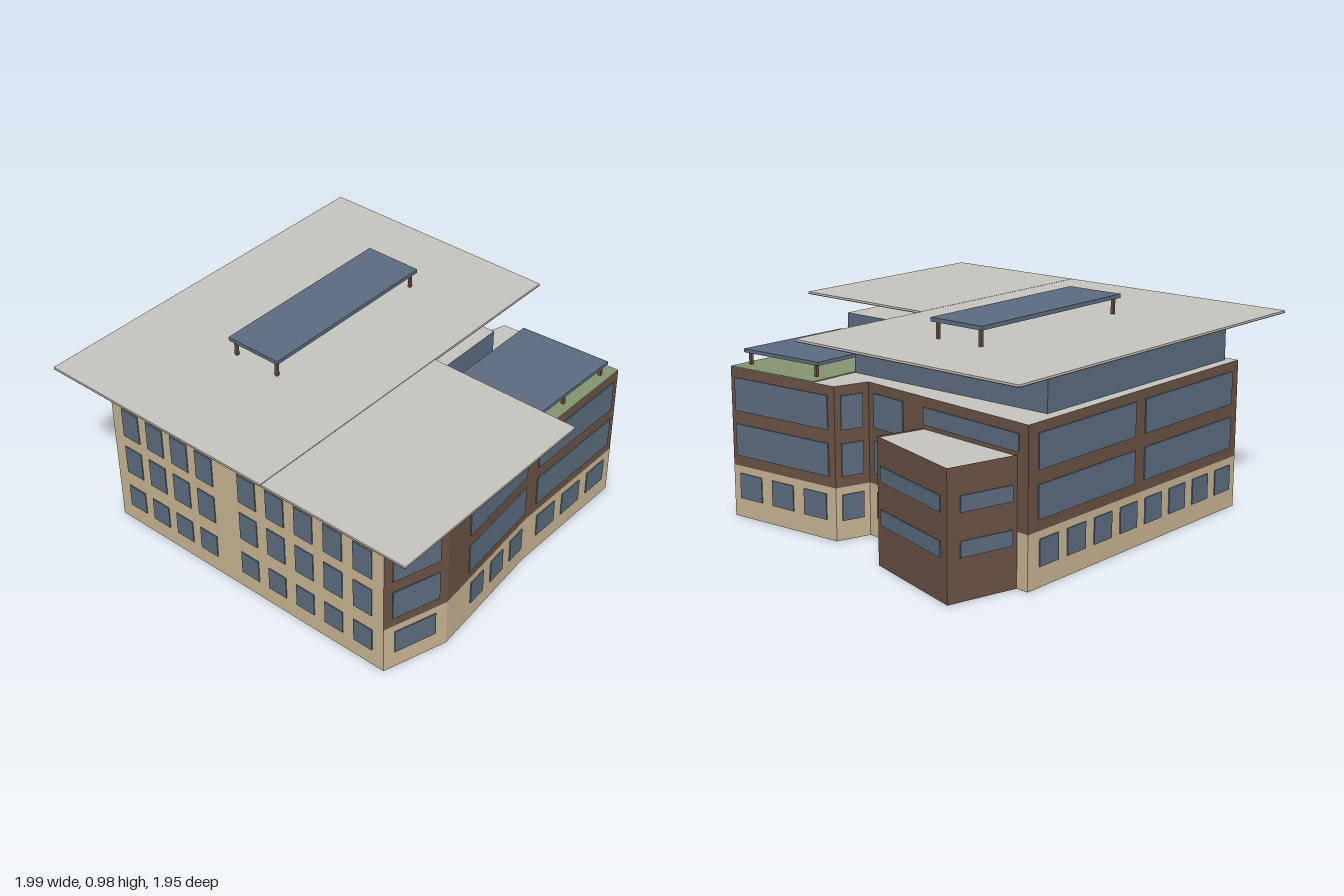
import * as THREE from 'three';

const mat = (name, color, side = THREE.FrontSide) => {
  const m = new THREE.MeshStandardMaterial({ color, side });
  m.name = name;
  return m;
};

export function createModel() {
  const group = new THREE.Group();
  const tan = mat('tan stone', 0xc8b593, THREE.DoubleSide);
  const brown = mat('brown brick', 0x6b5244, THREE.DoubleSide);
  const slate = mat('slate blue glass', 0x5b6c7f);
  const grey = mat('light grey roofing', 0xc5c3be, THREE.DoubleSide);
  const green = mat('terrace green', 0x83946f);

  const add = (name, geo, material, parent = group) => {
    const mesh = new THREE.Mesh(geo, material);
    mesh.name = name;
    parent.add(mesh);
    return mesh;
  };

  // plan outlines are lists of [x, z]
  const planShape = pts => new THREE.Shape(pts.map(([x, z]) => new THREE.Vector2(x, -z)));
  const slab = (pts, y0, y1) =>
    new THREE.ExtrudeGeometry(planShape(pts), { depth: y1 - y0, bevelEnabled: false })
      .rotateX(-Math.PI / 2).translate(0, y0, 0);
  const sheet = (pts, y) =>
    new THREE.ShapeGeometry(planShape(pts)).rotateX(-Math.PI / 2).translate(0, y, 0);
  const rect = (x0, x1, z0, z1) => [[x0, z0], [x1, z0], [x1, z1], [x0, z1]];

  // one flat upright wall panel from P to Q, outside on the right-hand side
  const panel = (name, P, Q, y0, y1, material) => {
    const geo = new THREE.BufferGeometry();
    geo.setAttribute('position', new THREE.Float32BufferAttribute([
      P[0], y0, P[1], Q[0], y0, Q[1], Q[0], y1, Q[1], P[0], y1, P[1]], 3));
    geo.setIndex([0, 1, 2, 0, 2, 3]);
    geo.computeVertexNormals();
    add(name, geo, material);
  };

  // window plates on wall P-Q; spans are coordinates along axis (0 = x, 1 = z)
  const windows = (name, P, Q, axis, spans, rows) => {
    const set = new THREE.Group();
    set.name = name;
    group.add(set);
    const dx = Q[0] - P[0], dz = Q[1] - P[1], len = Math.hypot(dx, dz);
    const nx = -dz / len, nz = dx / len;
    for (const [a, b] of spans) {
      const ta = (a - P[axis]) / (Q[axis] - P[axis]);
      const tb = (b - P[axis]) / (Q[axis] - P[axis]);
      const t = (ta + tb) / 2;
      for (const [y0, y1] of rows) {
        const geo = new THREE.BoxGeometry(Math.abs(tb - ta) * len, y1 - y0, 0.005);
        const pane = add('window', geo, slate, set);
        pane.position.set(P[0] + dx * t + nx * 0.0035, (y0 + y1) / 2, P[1] + dz * t + nz * 0.0035);
        pane.rotation.y = Math.atan2(nx, nz);
      }
    }
  };

  // main building shell
  const A = [-0.8, 0.7], B = [-0.5, 0.795], C = [0.13, 0.735], D = [0.785, 0.74];
  const E = [0.743, 0.136], F = [0.585, 0.089], G = [0.68, -0.87], H = [-0.8, -0.865];
  const plan = [A, B, C, D, E, F, G, H];
  const bandTop = 0.237, wallTop = 0.683;
  for (let i = 0; i < 7; i++) {
    panel('groundFloorWall', plan[i], plan[i + 1], 0, bandTop, tan);
    panel('upperWall', plan[i], plan[i + 1], bandTop, wallTop, brown);
  }
  panel('plainSideWall', H, A, 0, wallTop, tan);
  add('roofDeck', sheet(plan, wallTop), grey);

  // windows of the main building
  const ground = [[0.088, 0.204]];
  const upper = [[0.285, 0.43], [0.49, 0.64]];
  windows('frontCornerUpperWindows', A, B, 0, [[-0.76, -0.54]], upper);
  windows('frontCornerGroundWindow', A, B, 0, [[-0.75, -0.556]], ground);
  windows('frontMiddleUpperWindows', B, C, 0, [[-0.34, 0.115]], upper);
  windows('frontMiddleGroundWindows', B, C, 0, [[-0.32, -0.22], [-0.16, -0.06], [0, 0.1]], ground);
  windows('frontWingUpperWindows', C, D, 0, [[0.2, 0.75]], upper);
  windows('frontWingGroundWindows', C, D, 0, [[0.214, 0.348], [0.406, 0.54], [0.6, 0.733]], ground);
  windows('wingSideUpperWindows', D, E, 1, [[0.715, 0.172]], upper);
  windows('wingSideGroundWindows', D, E, 1, [[0.7, 0.57], [0.507, 0.381], [0.318, 0.188]], ground);
  windows('recessWindows', E, F, 0, [[0.715, 0.615]], [...ground, ...upper]);
  windows('sideUpperWindows', F, G, 1, [[0.052, -0.136]], upper);
  windows('sideGroundWindow', F, G, 1, [[0.037, -0.12]], ground);
  windows('sideLongWindow', F, G, 1, [[-0.266, -0.82]], [[0.565, 0.64]]);
  windows('backUpperWindows', G, H, 0, [[0.62, -0.02], [-0.09, -0.75]], upper);
  windows('backGroundWindows', G, H, 0,
    Array.from({ length: 8 }, (_, i) => [0.61 - i * 0.178, 0.49 - i * 0.178]), ground);
  const columns = [-0.8, -0.65, -0.5, -0.35, -0.1, 0.06, 0.22, 0.38, 0.54];
  windows('plainSideWindows', H, A, 1, columns.map(z => [z, z + 0.1]), [...ground, ...upper]);

  // lower angled side block
  const block = [[0.619, -0.265], [0.84, -0.21], [0.992, -0.727], [0.673, -0.81]];
  for (let i = 0; i < 3; i++) panel('sideBlockWall', block[i], block[i + 1], 0, 0.552, brown);
  add('sideBlockRoof', sheet(block, 0.546), grey);
  const slots = [[0.183, 0.25], [0.366, 0.434]];
  windows('sideBlockWindows', block[1], block[2], 1, [[-0.24, -0.684]], slots);
  windows('sideBlockEndWindows', block[2], block[3], 1, [[-0.742, -0.804]], slots);

  // set-back glazed top storey, L-shaped
  add('topStorey', slab([[-0.76, -0.82], [0.503, -0.82], [0.503, 0.25], [0.1, 0.25],
    [0.1, 0.7], [-0.76, 0.7]], 0.684, 0.828), [grey, slate]);

  // overhanging flat roof in two sheets, brown underneath
  for (const [name, area] of [['mainRoof', rect(-1, 0.866, -0.975, 0.235)],
    ['wingRoof', rect(-1, 0.095, 0.238, 0.97)]]) {
    add(name, slab(area, 0.886, 0.893), grey);
    add(name + 'Underside', slab(area, 0.882, 0.886), brown);
  }

  // small canopies on posts
  const canopy = (name, pts, y0, y1, base, posts) => {
    const set = new THREE.Group();
    set.name = name;
    group.add(set);
    add('canopyPanel', slab(pts, y0, y1), slate, set);
    for (const [x, z] of posts) {
      add('post', new THREE.BoxGeometry(0.014, y0 - base, 0.014), brown, set)
        .position.set(x, (y0 + base) / 2, z);
    }
  };
  canopy('roofCanopy', rect(-0.447, 0.488, -0.465, -0.183), 0.966, 0.984, 0.893,
    [[-0.427, -0.44], [0.465, -0.44], [-0.427, -0.205], [0.465, -0.205]]);

  // green terrace with its canopy
  add('terrace', slab([[0.1, 0.251], [0.751, 0.251], [0.785, 0.74], [0.13, 0.735], [0.1, 0.737]],
    wallTop + 0.001, wallTop + 0.005), green);
  canopy('terraceCanopy', [[0.139, 0.278], [0.695, 0.278], [0.724, 0.72], [0.139, 0.707]],
    0.742, 0.758, wallTop,
    [[0.16, 0.69], [0.425, 0.692], [0.702, 0.697], [0.675, 0.31], [0.16, 0.31]]);

  return group;
}
